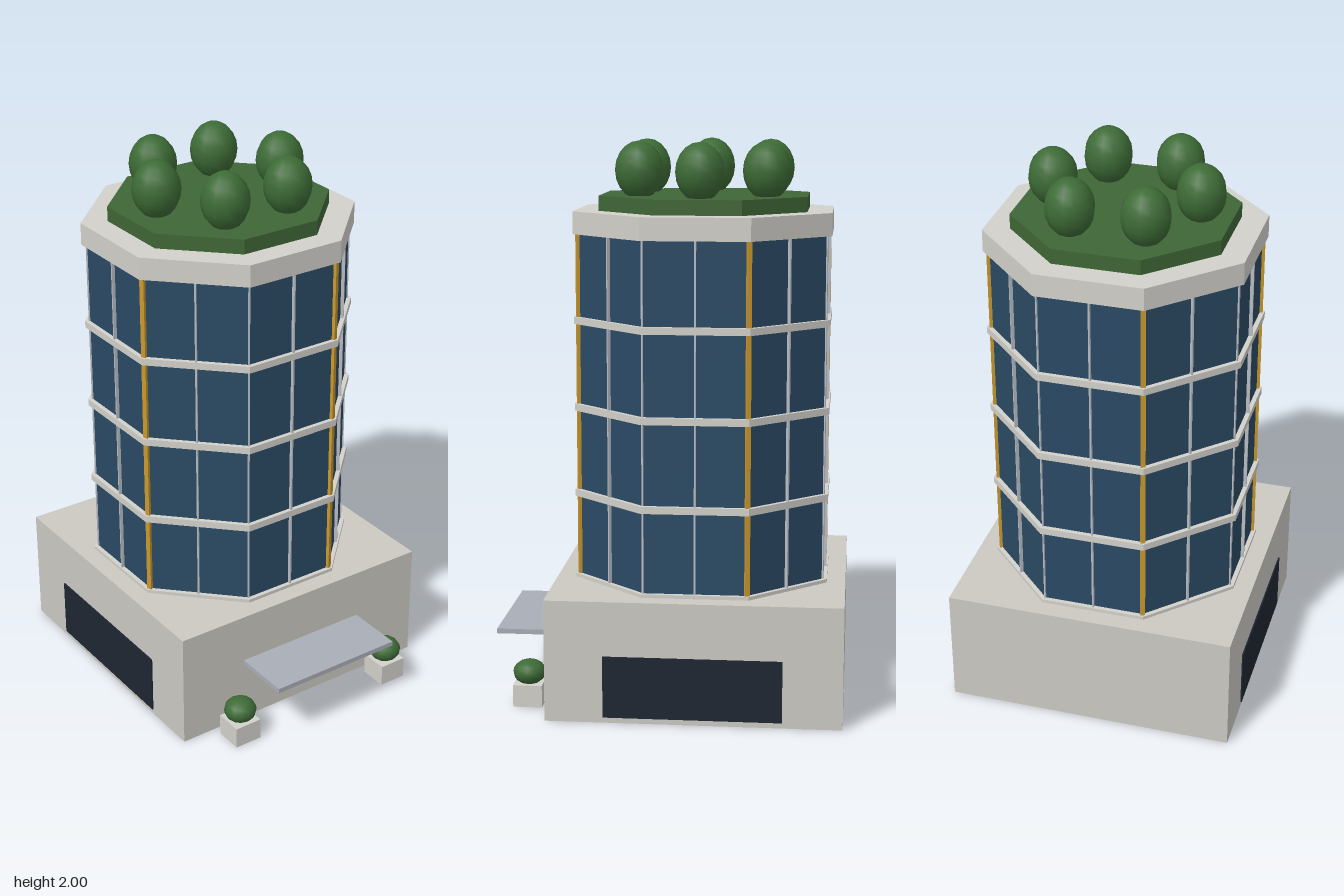
import * as THREE from 'three';

const TOWER_Z = -0.11;
const mat = (color, flat = true) => new THREE.MeshStandardMaterial({ color, flatShading: flat });

export function createModel() {
  const concrete = mat(0xcbc9c2), trim = mat(0xd2d0ca), glass = mat(0x2a4a64);
  const dark = mat(0x1e2632), steel = mat(0xb8bcc2), gold = mat(0xc9982f);
  const canopyMat = mat(0xa9adb6), grass = mat(0x3f6636), leaf = mat(0x3d6b36, false);

  const model = new THREE.Group();
  model.name = 'building';
  const tower = new THREE.Group();
  tower.name = 'tower';
  tower.position.z = TOWER_Z;
  model.add(tower);

  function add(parent, name, geometry, material, x = 0, y = 0, z = 0) {
    const mesh = new THREE.Mesh(geometry, material);
    mesh.name = name;
    mesh.position.set(x, y, z);
    parent.add(mesh);
    return mesh;
  }
  const box = (parent, name, material, w, h, d, x, y, z) =>
    add(parent, name, new THREE.BoxGeometry(w, h, d), material, x, y, z);

  // Octagonal prism with flat faces towards the axes, sized by its half width
  function octagon(name, material, halfWidth, y0, y1) {
    const r = halfWidth / Math.cos(Math.PI / 8);
    const geometry = new THREE.CylinderGeometry(r, r, y1 - y0, 8).rotateY(Math.PI / 8);
    return add(tower, name, geometry, material, 0, (y0 + y1) / 2, 0);
  }

  function foliage(parent, name, rx, ry, x, y, z) {
    add(parent, name, new THREE.SphereGeometry(1, 12, 10), leaf, x, y, z).scale.set(rx, ry, rx);
  }

  // Podium with side windows and an entrance canopy
  box(model, 'podium', concrete, 1.04, 0.435, 1.04, 0, 0.2175, TOWER_Z);
  for (const s of [-1, 1]) {
    box(model, 'sideWindow', dark, 0.01, 0.22, 0.625, s * 0.52, 0.13, -0.108);
  }
  box(model, 'canopy', canopyMat, 0.516, 0.018, 0.225, 0, 0.241, 0.5125);

  // Planters beside the entrance
  for (const s of [-1, 1]) {
    box(model, 'planter', trim, 0.104, 0.08, 0.104, s * 0.333, 0.04, 0.494);
    foliage(model, 'planterBush', 0.059, 0.045, s * 0.333, 0.117, 0.494);
  }

  // Glass shaft with floor bands
  octagon('glassShaft', glass, 0.437, 0.43, 1.69);
  for (let i = 0; i < 4; i++) {
    const y = 0.435 + i * 0.3117;
    octagon('floorBand', trim, 0.453, y - 0.0125, y + 0.0125);
  }

  // Mullions: thin fins at face centres, gold posts at every other corner
  for (let k = 0; k < 16; k++) {
    const angle = (k * Math.PI) / 8;
    const corner = k % 2 === 1;
    const golden = k % 4 === 1;
    const r = corner ? 0.471 : 0.437;
    const width = golden ? 0.017 : 0.006;
    const depth = golden ? 0.02 : corner ? 0.012 : 0.024;
    const post = box(tower, golden ? 'goldMullion' : 'mullion', golden ? gold : steel,
      width, 1.24, depth, Math.sin(angle) * r, 1.055, Math.cos(angle) * r);
    post.rotation.y = angle;
  }

  // Roof slab, garden and ring of trees
  octagon('roofSlab', trim, 0.455, 1.675, 1.755);
  octagon('roofGarden', grass, 0.367, 1.75, 1.808);
  for (let i = 0; i < 6; i++) {
    const a = (i * Math.PI) / 3;
    foliage(tower, 'roofTree', 0.086, 0.103, Math.cos(a) * 0.26, 1.897, Math.sin(a) * 0.26);
  }
  return model;
}
